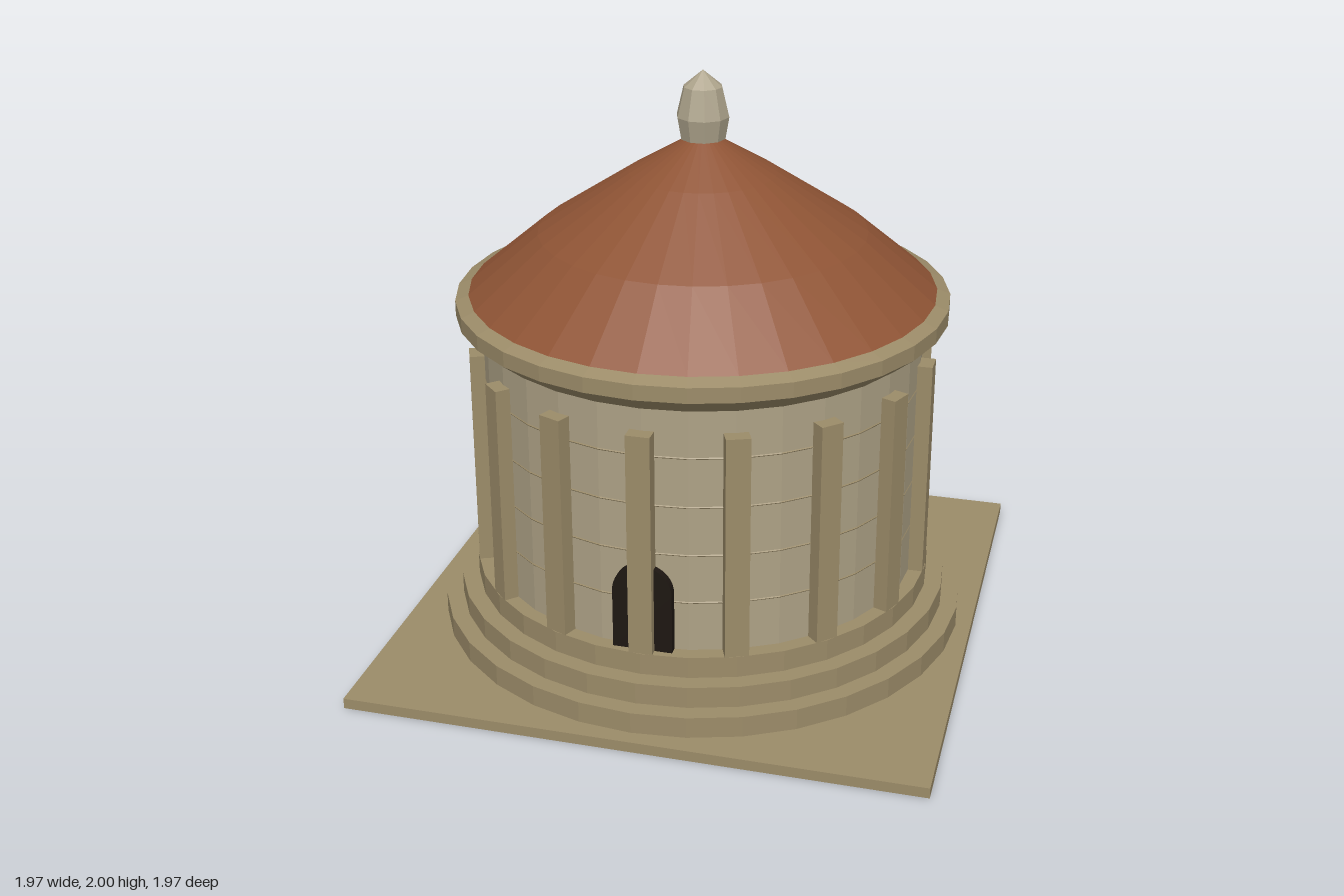
import * as THREE from 'three';

const SIDES = 32;
const material = (color) => new THREE.MeshStandardMaterial({ color, flatShading: true });
const trim = material(0x9c8c69);
const wall = material(0xaea286);
const joint = material(0x9c8c69);
const tile = material(0x8f5435);
const dark = material(0x1e1712);
const finialStone = material(0xaea48c);

export function createModel() {
  const model = new THREE.Group();

  const add = (name, geometry, mat, y = 0, parent = model) => {
    const mesh = new THREE.Mesh(geometry, mat);
    mesh.name = name;
    mesh.position.y = y;
    parent.add(mesh);
    return mesh;
  };
  const lathe = (points, sides) =>
    new THREE.LatheGeometry(points.map(([r, y]) => new THREE.Vector2(r, y)), sides);

  // Square ground slab and three round steps
  add('groundSlab', new THREE.BoxGeometry(1.966, 0.037, 1.966), trim, 0.0185);
  [0.93, 0.87, 0.81].forEach((r, i) => {
    add('step' + (i + 1), new THREE.CylinderGeometry(r, r, 0.075, SIDES), trim, 0.0735 + i * 0.075);
  });

  // Drum wall with thin masonry joints
  add('drum', new THREE.CylinderGeometry(0.76, 0.76, 0.87, SIDES), wall, 0.69);
  const ring = new THREE.TorusGeometry(0.755, 0.007, 6, SIDES).rotateX(Math.PI / 2);
  for (let i = 0; i < 4; i++) add('masonryJoint', ring, joint, 0.437 + i * 0.172);

  // Ring of pilasters
  const pilasters = new THREE.Group();
  pilasters.name = 'pilasters';
  model.add(pilasters);
  const shaft = new THREE.BoxGeometry(0.08, 0.78, 0.07);
  for (let i = 0; i < 16; i++) {
    const a = (i / 16) * Math.PI * 2;
    const p = add('pilaster', shaft, trim, 0.65, pilasters);
    p.position.x = Math.sin(a) * 0.772;
    p.position.z = Math.cos(a) * 0.772;
    p.rotation.y = a;
  }

  // Arched doorway
  const arch = new THREE.Shape();
  arch.moveTo(-0.1, 0);
  arch.lineTo(0.1, 0);
  arch.lineTo(0.1, 0.21);
  arch.absarc(0, 0.21, 0.1, 0, Math.PI, false);
  arch.closePath();
  const door = add('doorway',
    new THREE.ExtrudeGeometry(arch, { depth: 0.04, bevelEnabled: false, curveSegments: 10 }), dark, 0.26);
  door.position.z = 0.74;

  // Cornice: flared underside, upright band, top sloping up to the eaves
  add('cornice', lathe([
    [0, 1.12], [0.77, 1.12], [0.845, 1.18], [0.845, 1.232], [0.8, 1.25], [0, 1.25],
  ], SIDES), trim);

  // Tiled roof with a gently changing slope
  add('roof', lathe([
    [0.8, 1.25], [0.56, 1.452], [0.25, 1.655], [0.06, 1.767], [0, 1.78],
  ], SIDES), tile);

  // Bud-shaped finial
  const finial = add('finial', lathe([
    [0, 1.77], [0.077, 1.77], [0.09, 1.845], [0.066, 1.945], [0, 2],
  ], 10), finialStone);
  finial.rotation.y = Math.PI / 2;

  return model;
}
